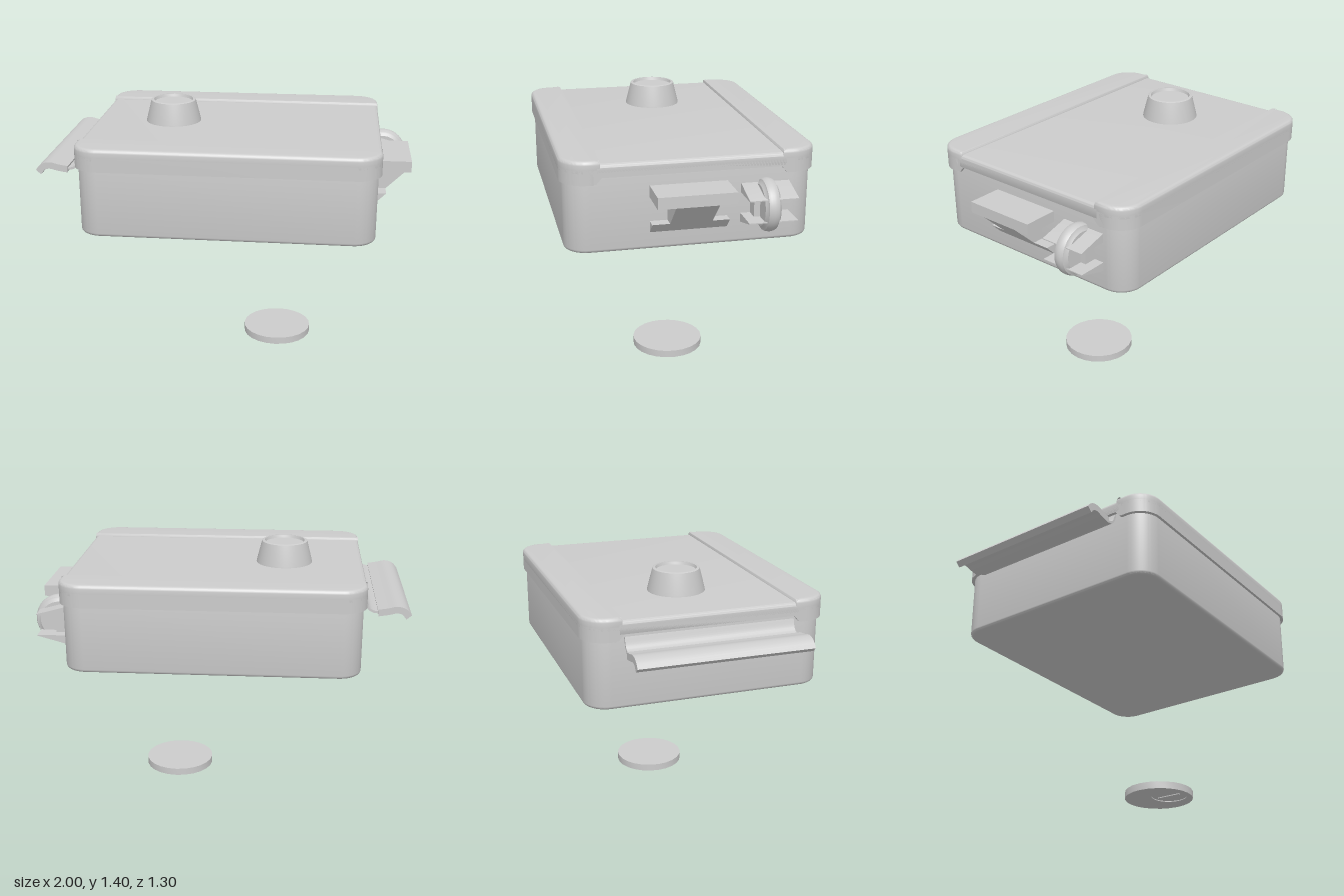
import * as THREE from 'three';
import { toCreasedNormals } from 'three/addons/utils/BufferGeometryUtils.js';

const material = new THREE.MeshStandardMaterial({ color: 0xcccccc, side: THREE.DoubleSide });
const MID = 0.0325; // centre of the box in x

function add(parent, name, geometry) {
  const mesh = new THREE.Mesh(toCreasedNormals(geometry, 0.6), material);
  mesh.name = name;
  parent.add(mesh);
  return mesh;
}

// Rectangle with separate radii for its lower and upper corners
function roundRect(x0, y0, x1, y1, rLow, rHigh) {
  const s = new THREE.Shape();
  const h = Math.PI / 2;
  s.absarc(x1 - rLow, y0 + rLow, rLow, -h, 0);
  s.absarc(x1 - rHigh, y1 - rHigh, rHigh, 0, h);
  s.absarc(x0 + rHigh, y1 - rHigh, rHigh, h, 2 * h);
  s.absarc(x0 + rLow, y0 + rLow, rLow, 2 * h, 3 * h);
  return s;
}

// Plan outline raised from y0 to y1 with optional rounded edges
function raise(shape, y0, y1, bevel = 0) {
  return new THREE.ExtrudeGeometry(shape, {
    depth: y1 - y0 - 2 * bevel, bevelEnabled: bevel > 0, bevelSize: bevel,
    bevelThickness: bevel, bevelOffset: -bevel, bevelSegments: 4, curveSegments: 12,
  }).translate(0, 0, bevel).rotateX(-Math.PI / 2).translate(0, y0, 0);
}

// Side outline in x and y, extruded from z0 to z1
function sweep(outline, z0, z1) {
  const shape = Array.isArray(outline)
    ? new THREE.Shape(outline.map(([x, y]) => new THREE.Vector2(x, y))) : outline;
  return new THREE.ExtrudeGeometry(shape, { depth: z1 - z0, bevelEnabled: false, curveSegments: 10 })
    .translate(0, 0, z0);
}

// Curved sheet outline of constant thickness following a spline
function sheet(points, thickness) {
  const curve = new THREE.SplineCurve(points.map(([x, y]) => new THREE.Vector2(x, y)));
  const upper = [], lower = [];
  for (let i = 0; i <= 16; i++) {
    const p = curve.getPoint(i / 16), t = curve.getTangent(i / 16);
    const n = new THREE.Vector2(-t.y, t.x).multiplyScalar(thickness / 2);
    upper.push(p.clone().add(n));
    lower.unshift(p.clone().sub(n));
  }
  return new THREE.Shape([...upper, ...lower]);
}

function lathe(points, segments = 48) {
  return new THREE.LatheGeometry(points.map(([r, y]) => new THREE.Vector2(r, y)), segments);
}

export function createModel() {
  const model = new THREE.Group();
  model.name = 'box';

  // Main tub
  add(model, 'body', raise(roundRect(-0.78, -0.635, 0.78, 0.635, 0.12, 0.12), 0.815, 1.265, 0.018))
    .position.x = MID;

  // Lid: sunken centre, stepped skirt on the ends, raised rails front and back
  const lid = new THREE.Group();
  lid.name = 'lid';
  lid.position.x = MID;
  model.add(lid);
  add(lid, 'lidPanel', sweep(roundRect(-0.797, 1.21, 0.797, 1.278, 0.001, 0.02), -0.475, 0.475));
  const skirt = sweep([[-0.52, 1.175], [-0.48, 1.178], [-0.453, 1.21], [0.453, 1.21], [0.48, 1.178],
    [0.52, 1.175], [0.52, 1.25], [-0.52, 1.25]], -0.797, 0.797);
  add(lid, 'lidSkirt', skirt.rotateY(Math.PI / 2));
  for (const angle of [0, Math.PI]) {
    const rail = new THREE.Group();
    rail.name = angle ? 'backRail' : 'frontRail';
    rail.rotation.y = angle;
    lid.add(rail);
    const plan = () => roundRect(-0.797, -0.65, 0.797, -0.46, 0.13, 0.002);
    const lower = roundRect(-0.797, -0.65, 0.797, -0.49, 0.13, 0.002);
    add(rail, 'railSide', raise(lower, 1.175, 1.25));
    add(rail, 'railTop', raise(plan(), 1.215, 1.295, 0.02));
  }

  // Tapered knob with a shallow recessed top
  add(model, 'knob', lathe([[0, 1.27], [0.155, 1.27], [0.153, 1.285], [0.125, 1.397], [0.12, 1.4],
    [0.11, 1.4], [0.105, 1.385], [0, 1.385]])).position.set(-0.33, 0, -0.035);

  // Curved pull tab on the right side
  const tab = new THREE.Group();
  tab.name = 'pullTab';
  model.add(tab);
  add(tab, 'tabWeb', sweep(sheet([[-0.84, 1.125], [-0.805, 1.128], [-0.775, 1.148], [-0.757, 1.195]], 0.012),
    -0.45, 0.45));
  add(tab, 'tabGrip', sweep(sheet([[-0.988, 1.103], [-0.963, 1.132], [-0.925, 1.142], [-0.88, 1.132],
    [-0.828, 1.124]], 0.036), -0.46, 0.46));

  // Large bracket: shelf, sloping web and wedge foot
  const bracket = new THREE.Group();
  bracket.name = 'largeBracket';
  model.add(bracket);
  add(bracket, 'shelf', sweep([[0.8, 1.09], [1, 1.09], [1, 1.15], [0.8, 1.15]], -0.18, 0.215));
  add(bracket, 'web', sweep([[0.8, 0.96], [0.867, 0.96], [1, 1.09], [0.8, 1.09]], -0.09, 0.125));
  add(bracket, 'foot', sweep([[0.8, 0.905], [0.812, 0.905], [0.872, 0.965], [0.8, 0.965]], -0.18, 0.215));

  // Small bracket: two mirrored wedges around a post, holding a wheel
  const holder = new THREE.Group();
  holder.name = 'wheelBracket';
  holder.position.y = 1.027;
  model.add(holder);
  for (const s of [1, -1]) {
    add(holder, s > 0 ? 'upperWedge' : 'lowerWedge',
      sweep([[0.8, s * 0.055], [0.97, s * 0.055], [0.97, s * 0.06], [0.812, s * 0.103], [0.8, s * 0.103]],
        -0.5, -0.25));
  }
  add(holder, 'post', sweep([[0.8, -0.06], [0.88, -0.06], [0.88, 0.06], [0.8, 0.06]], -0.445, -0.3));
  const wheel = lathe([[0, -0.041], [0.105, -0.041], [0.118, -0.03], [0.128, -0.027], [0.134, -0.015],
    [0.136, 0], [0.134, 0.015], [0.128, 0.027], [0.118, 0.03], [0.105, 0.041], [0, 0.041]]);
  add(holder, 'wheel', wheel.rotateX(Math.PI / 2)).position.set(0.864, 0, -0.372);

  // Loose round cap lying below, with an off-centre socket underneath
  const cap = new THREE.Group();
  cap.name = 'cap';
  cap.position.set(0.278, 0, 0.005);
  model.add(cap);
  const disc = new THREE.Shape().absarc(0, 0, 0.195, 0, Math.PI * 2);
  disc.holes.push(new THREE.Path().absarc(0, -0.07, 0.1, 0, Math.PI * 2));
  add(cap, 'capDisc', raise(disc, 0, 0.04));
  add(cap, 'capPlug', new THREE.CylinderGeometry(0.1, 0.1, 0.035, 48)).position.set(0, 0.0225, 0.07);
  add(cap, 'capSlotBar', new THREE.BoxGeometry(0.015, 0.01, 0.14)).position.set(0, 0.005, 0.07);

  return model;
}
